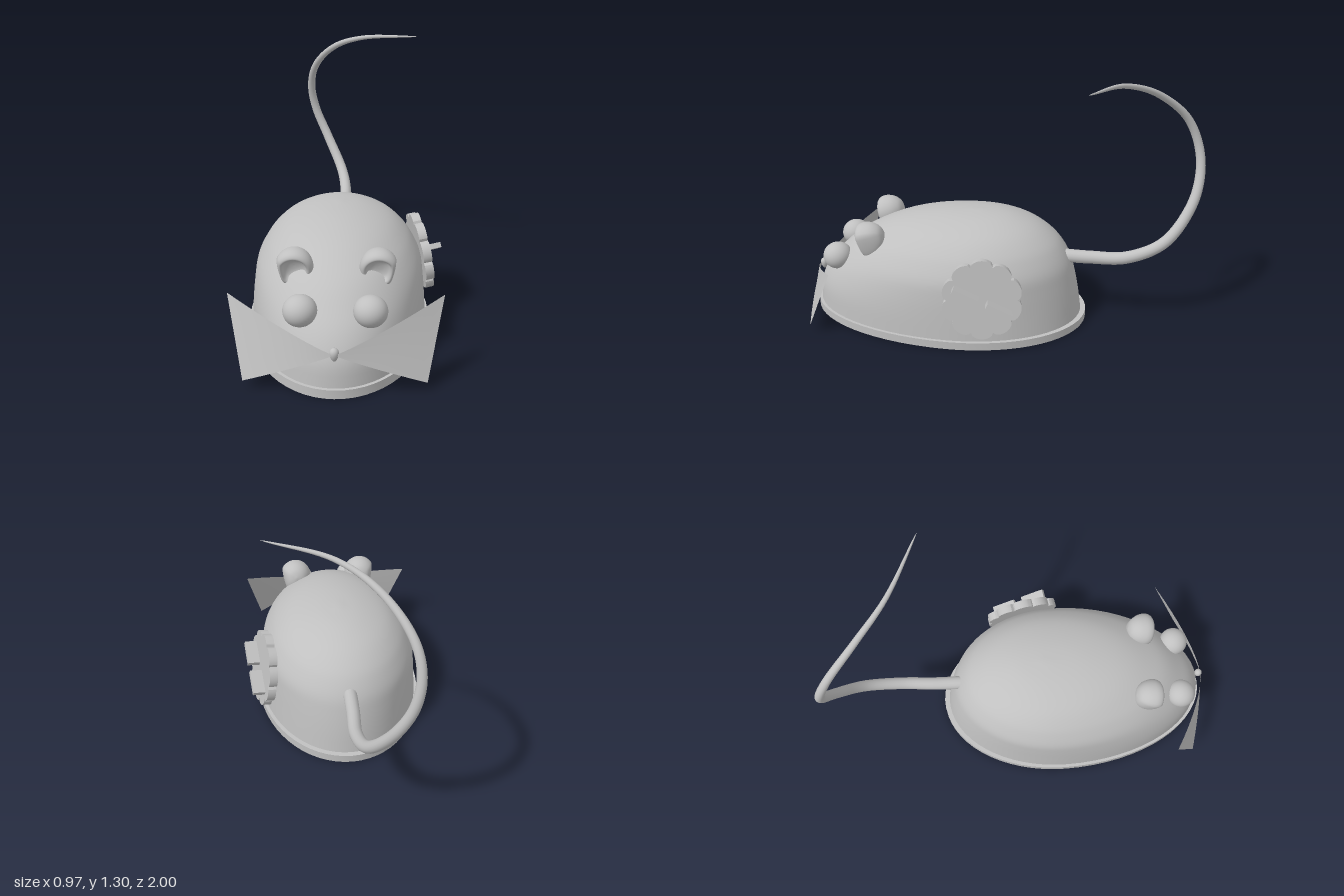
import * as THREE from 'three';
import { mergeVertices, toCreasedNormals } from 'three/addons/utils/BufferGeometryUtils.js';

const CX = -0.012; // centre plane of the body

// Weld vertices and rebuild smooth normals
function smooth(g) {
  g.deleteAttribute('uv');
  if (g.attributes.normal) g.deleteAttribute('normal');
  const m = mergeVertices(g, 1e-4);
  m.computeVertexNormals();
  return m;
}

// Egg outline: back and front half-ellipses sharing one width
function egg(a, hw, zb, zf) {
  const zc = zb + (zf - zb) * 0.45;
  const c = Math.cos(a);
  return [CX + Math.sin(a) * hw, zc + c * (c > 0 ? zf - zc : zc - zb)];
}

// Grid surface from a point function, u runs along a row and v across rows
function grid(nu, nv, fn) {
  const pos = [], idx = [];
  for (let j = 0; j <= nv; j++) for (let i = 0; i <= nu; i++) pos.push(...fn(i / nu, j / nv));
  for (let j = 0; j < nv; j++) for (let i = 0; i < nu; i++) {
    const a = j * (nu + 1) + i, b = a + nu + 1;
    idx.push(a, a + 1, b + 1, a, b + 1, b);
  }
  const g = new THREE.BufferGeometry();
  g.setAttribute('position', new THREE.Float32BufferAttribute(pos, 3));
  g.setIndex(idx);
  return smooth(g);
}

// Domed body lofted through egg-shaped levels: height, back z, front z, half width
function bodyGeometry() {
  const levels = [
    [0.03, -0.415, 0.985, 0.422], [0.15, -0.398, 0.972, 0.415], [0.25, -0.378, 0.92, 0.407],
    [0.33, -0.355, 0.845, 0.394], [0.40, -0.315, 0.765, 0.358], [0.45, -0.27, 0.68, 0.32],
    [0.50, -0.20, 0.57, 0.262], [0.535, -0.12, 0.45, 0.19], [0.56, -0.02, 0.30, 0.10],
    [0.571, 0.12, 0.12, 0],
  ];
  const ends = new THREE.CatmullRomCurve3(levels.map(l => new THREE.Vector3(l[1], l[0], l[2])), false, 'catmullrom');
  const widths = new THREE.CatmullRomCurve3(levels.map(l => new THREE.Vector3(l[3], 0, 0)), false, 'catmullrom');
  return grid(64, 36, (u, v) => {
    const e = ends.getPoint(v);
    const [x, z] = egg(u * Math.PI * 2, widths.getPoint(v).x, e.x, e.z);
    return [x, e.y, z];
  });
}

// Flat rim plate under the body
function baseGeometry() {
  const pts = [];
  for (let i = 0; i < 64; i++) {
    const [x, z] = egg(i / 64 * Math.PI * 2, 0.437, -0.44, 1.0);
    pts.push(new THREE.Vector2(x, -z));
  }
  const g = new THREE.ExtrudeGeometry(new THREE.Shape(pts), { depth: 0.04, bevelEnabled: false });
  return toCreasedNormals(g.rotateX(-Math.PI / 2), 0.6);
}

// Cupped ear: rounded back, dished front, narrowing to a tip at the bottom
function earGeometry() {
  const profile = [[0, -0.08], [0.04, -0.07], [0.07, -0.04], [0.084, 0], [0.082, 0.03], [0.07, 0.045],
    [0.058, 0.042], [0.048, 0.02], [0.025, 0.008], [0, 0.005]];
  const curve = new THREE.SplineCurve(profile.map(p => new THREE.Vector2(...p)));
  const pts = curve.getPoints(36).map(p => new THREE.Vector2(Math.max(0, p.x), p.y));
  const g = new THREE.LatheGeometry(pts, 36).rotateX(Math.PI / 2);
  const p = g.attributes.position;
  for (let i = 0; i < p.count; i++) {
    const y = p.getY(i);
    if (y < 0) p.setXY(i, p.getX(i) * (1 + y * 6.5), y * 1.1);
  }
  return smooth(g);
}

// Tapered tail sweeping back, up and round to a fine point
function tailGeometry() {
  const path = new THREE.CatmullRomCurve3([
    [-0.012, 0.345, -0.33], [-0.008, 0.347, -0.46], [0.002, 0.365, -0.64], [-0.025, 0.45, -0.82],
    [-0.115, 0.63, -0.945], [-0.185, 0.79, -0.975], [-0.21, 0.93, -0.95], [-0.185, 1.06, -0.885],
    [-0.075, 1.195, -0.74], [0.09, 1.27, -0.59], [0.385, 1.298, -0.44],
  ].map(p => new THREE.Vector3(...p)));
  const n = 100, sides = 16;
  const g = new THREE.TubeGeometry(path, n, 1, sides);
  const p = g.attributes.position, v = new THREE.Vector3();
  for (let i = 0; i <= n; i++) {
    const t = i / n, c = path.getPointAt(t);
    const r = 0.034 * Math.pow(1 - t, 0.6) + 0.0005;
    for (let k = 0; k <= sides; k++) {
      const id = i * (sides + 1) + k;
      v.fromBufferAttribute(p, id).sub(c).multiplyScalar(r).add(c);
      p.setXYZ(id, v.x, v.y, v.z);
    }
  }
  return g;
}

// Curved triangular whisker sheet fanning out from the nose
function whiskerGeometry(s) {
  return grid(12, 4, (t, v) => {
    const low = [0.39 * t, 0.195 - 0.16 * t, 0.99 - 0.07 * t ** 1.5];
    const high = [0.465 * t, 0.195 + 0.175 * t, 0.99 - 0.22 * t ** 1.4];
    const q = low.map((a, i) => a + (high[i] - a) * v);
    return [CX + s * q[0], q[1], q[2]];
  });
}

// Scalloped winder disc with two raised grips, facing local +z
function winder(mat) {
  const group = new THREE.Group();
  group.name = 'winder';
  const pts = [];
  for (let i = 0; i < 120; i++) {
    const a = i / 120 * Math.PI * 2;
    const r = 0.17 + 0.026 * Math.sqrt(Math.abs(Math.sin(a * 5)));
    pts.push(new THREE.Vector2(Math.cos(a) * r, Math.sin(a) * r));
  }
  const g = new THREE.ExtrudeGeometry(new THREE.Shape(pts), { depth: 0.042, bevelEnabled: false });
  g.translate(0, 0, -0.042);
  const disc = new THREE.Mesh(toCreasedNormals(g, 0.5), mat);
  disc.name = 'winderDisc';
  group.add(disc);
  for (const s of [-1, 1]) {
    const grip = new THREE.Mesh(new THREE.BoxGeometry(0.13, 0.026, 0.07), mat);
    grip.name = 'winderGrip';
    grip.position.set(s * 0.08, -s * 0.037, 0.027);
    grip.rotation.z = -0.45;
    group.add(grip);
  }
  group.position.set(0.414, 0.28, 0.025);
  group.lookAt(1.414, 0.28 + 0.17, 0.025 - 0.18);
  return group;
}

export function createModel() {
  const model = new THREE.Group();
  model.name = 'windUpMouse';
  const grey = new THREE.MeshStandardMaterial({ color: 0xc0c0c0 });
  grey.name = 'grey';
  grey.side = THREE.DoubleSide;

  const add = (name, geometry, x = 0, y = 0, z = 0) => {
    const mesh = new THREE.Mesh(geometry, grey);
    mesh.name = name;
    mesh.position.set(x, y, z);
    model.add(mesh);
    return mesh;
  };

  add('base', baseGeometry());
  add('body', bodyGeometry());
  add('tail', tailGeometry());

  // Nose bead, narrower at the bottom
  const nose = new THREE.SphereGeometry(0.024, 20, 14);
  const np = nose.attributes.position;
  for (let i = 0; i < np.count; i++) {
    const k = 0.8 + np.getY(i) * 10;
    np.setXYZ(i, np.getX(i) * k, np.getY(i) * 1.25, np.getZ(i) * k);
  }
  add('nose', smooth(nose), CX, 0.192, 0.977);

  // Paired features
  for (const s of [-1, 1]) {
    const side = s > 0 ? 'left' : 'right';
    add(side + 'Eye', new THREE.SphereGeometry(0.074, 32, 24), CX + s * 0.149, 0.322, 0.838).scale.y = 0.93;
    const ear = add(side + 'Ear', earGeometry(), CX + s * 0.185, 0.45, 0.65);
    ear.rotation.set(0.3, 0, s * 0.5);
    add(side + 'Whisker', whiskerGeometry(s));
  }

  model.add(winder(grey));
  return model;
}
